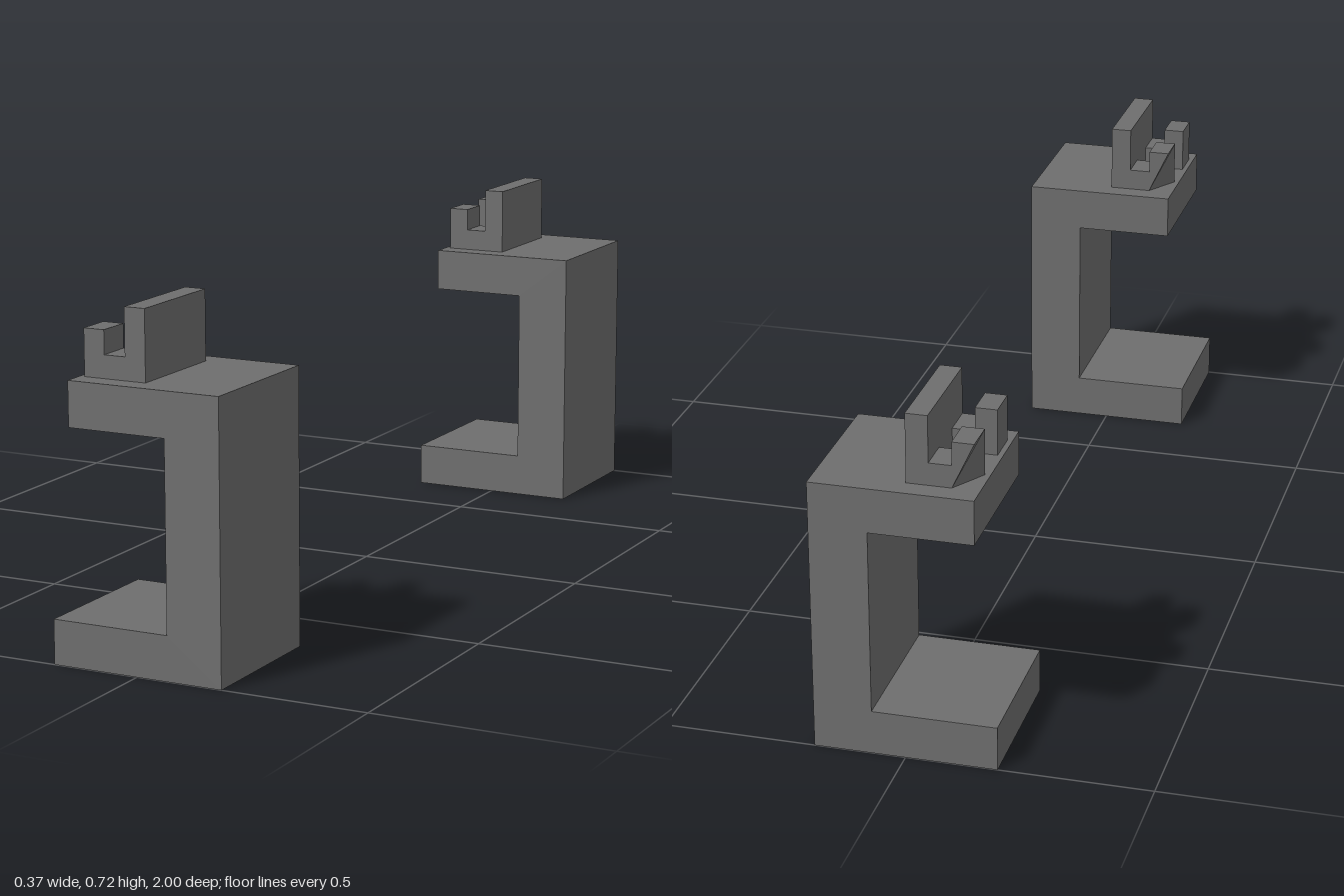
import * as THREE from 'three';

const material = new THREE.MeshStandardMaterial({ color: 0x6e6e6e, flatShading: true });

// Extrudes an x/y outline from z0 to z1
function extrude(points, z0, z1) {
  const shape = new THREE.Shape(points.map(([x, y]) => new THREE.Vector2(x, y)));
  const geometry = new THREE.ExtrudeGeometry(shape, { depth: z1 - z0, bevelEnabled: false });
  return geometry.translate(0, 0, z0);
}

function addMesh(parent, name, geometry) {
  const mesh = new THREE.Mesh(geometry, material);
  mesh.name = name;
  parent.add(mesh);
}

function createBracket() {
  const bracket = new THREE.Group();
  const top = 0.575, half = 0.1625, clip = 0.118, prong = 0.073;

  // C-shaped body, open towards -x
  addMesh(bracket, 'body', extrude([
    [-0.187, 0], [0.187, 0], [0.187, top], [-0.144, top],
    [-0.144, 0.482], [0.068, 0.482], [0.068, 0.093], [-0.187, 0.093],
  ], -half, half));

  // Tall wall of the clip
  addMesh(bracket, 'clipWall', extrude([
    [-0.042, top], [0.003, top], [0.003, 0.72], [-0.042, 0.72],
  ], -clip, clip));

  // L-shaped hooks facing the wall
  const hook = [
    [-0.133, top], [-0.042, top], [-0.042, 0.622],
    [-0.088, 0.622], [-0.088, 0.671], [-0.133, 0.671],
  ];
  addMesh(bracket, 'frontHook', extrude(hook, clip - prong, clip));

  // Rear hook: its outer bottom corner is pulled in, leaving an undercut
  const rear = extrude(hook, -clip, -clip + prong);
  const p = rear.attributes.position;
  for (let i = 0; i < p.count; i++) {
    if (p.getX(i) < -0.12 && p.getY(i) < 0.58 && p.getZ(i) < -clip + 0.01) p.setX(i, -0.088);
  }
  rear.computeVertexNormals();
  addMesh(bracket, 'rearHook', rear);
  return bracket;
}

export function createModel() {
  const model = new THREE.Group();
  model.name = 'bracketPair';
  // Two identical brackets, front and back
  for (const [name, z] of [['frontBracket', 0.8375], ['backBracket', -0.8375]]) {
    const bracket = createBracket();
    bracket.name = name;
    bracket.position.z = z;
    model.add(bracket);
  }
  return model;
}
